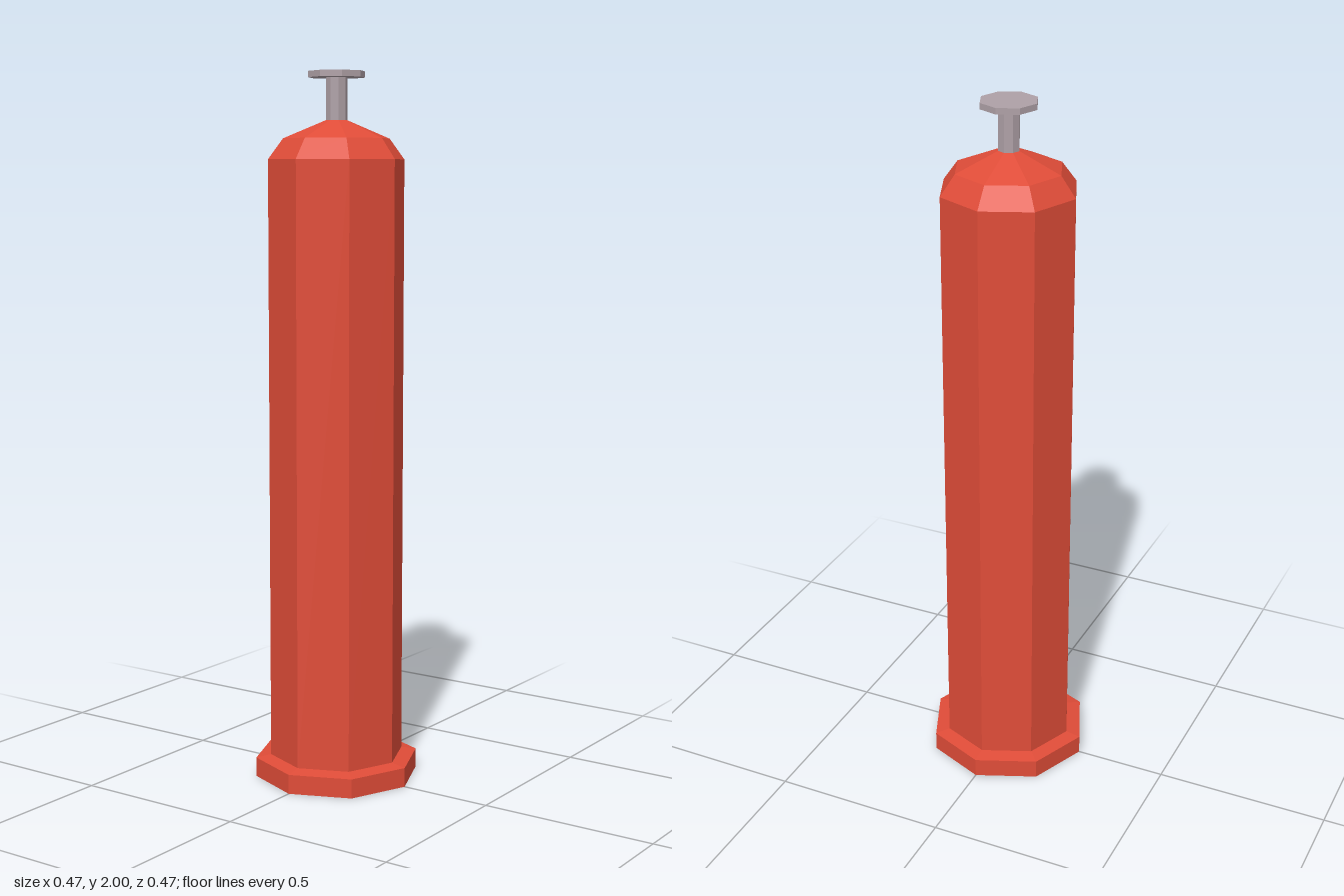
import * as THREE from 'three';

const SIDES = 8;

// Faceted octagonal section between two heights
function section(name, material, rBottom, rTop, y0, y1, open = false) {
  const geometry = new THREE.CylinderGeometry(rTop, rBottom, y1 - y0, SIDES, 1, open).toNonIndexed();
  geometry.computeVertexNormals();
  const mesh = new THREE.Mesh(geometry, material);
  mesh.name = name;
  mesh.position.y = (y0 + y1) / 2;
  return mesh;
}

export function createModel() {
  const red = new THREE.MeshStandardMaterial({ color: 0xdf4c38 });
  red.name = 'red paint';
  const grey = new THREE.MeshStandardMaterial({ color: 0xaea0a6 });
  grey.name = 'grey metal';

  const model = new THREE.Group();
  model.name = 'post';
  model.add(
    // Foot flange with a slightly sloping top
    section('baseFlange', red, 0.235, 0.235, 0, 0.055),
    section('baseSlope', red, 0.235, 0.19, 0.055, 0.063, true),
    // Tall body and two-step dome
    section('body', red, 0.192, 0.192, 0.06, 1.76, true),
    section('domeLower', red, 0.192, 0.15, 1.76, 1.817, true),
    section('domeUpper', red, 0.15, 0.03, 1.817, 1.867),
    // Plunger stem and cap
    section('stem', grey, 0.03, 0.03, 1.86, 1.985),
    section('cap', grey, 0.08, 0.08, 1.983, 2)
  );
  return model;
}
